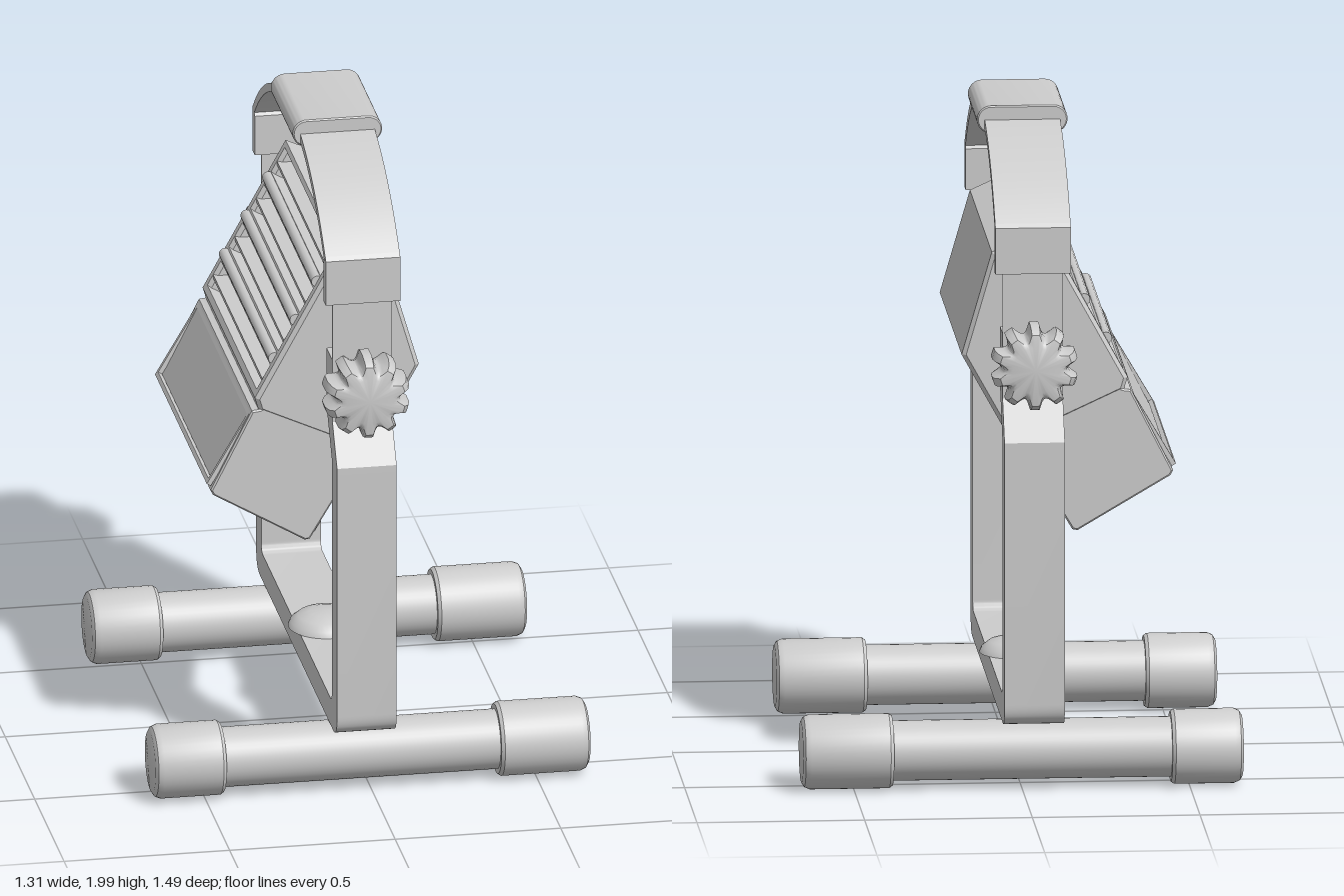
import * as THREE from 'three';
import { toCreasedNormals } from 'three/addons/utils/BufferGeometryUtils.js';

const CX = -0.03; // centre line of stand, knobs and handle
const PIVOT_Y = 1.31;
const mat = new THREE.MeshStandardMaterial({ color: 0xcccccc, side: THREE.DoubleSide });

function add(parent, name, geo, x = 0, y = 0, z = 0) {
  const m = new THREE.Mesh(geo, mat);
  m.name = name;
  m.position.set(x, y, z);
  parent.add(m);
  return m;
}
const box = (w, h, d) => new THREE.BoxGeometry(w, h, d);
const polygon = pts => new THREE.Shape(pts.map(p => new THREE.Vector2(p[0], p[1])));

// Extrusion centred on its own depth, with an optional inward bevel
function slab(shape, depth, bevel = 0) {
  const g = new THREE.ExtrudeGeometry(shape, {
    depth: depth - 2 * bevel, bevelEnabled: bevel > 0, bevelSize: bevel,
    bevelThickness: bevel, bevelOffset: -bevel, bevelSegments: 1, curveSegments: 10,
  });
  g.translate(0, 0, -(depth - 2 * bevel) / 2);
  return toCreasedNormals(g, 0.5);
}
// Outline drawn in (z, y), extruded across x
function across(shape, width, bevel = 0) {
  return slab(shape, width, bevel).rotateY(-Math.PI / 2);
}
function lathe(pts, seg = 40) {
  return toCreasedNormals(new THREE.LatheGeometry(pts.map(p => new THREE.Vector2(p[0], p[1])), seg), 0.6);
}

// Fluted knob, turned about its axis and then scalloped
function knobGeometry() {
  const profile = [[0, 0], [0.085, 0], [0.118, 0.008], [0.13, 0.035], [0.13, 0.085],
    [0.122, 0.118], [0.108, 0.134], [0.07, 0.14], [0, 0.143]];
  const g = new THREE.LatheGeometry(profile.map(p => new THREE.Vector2(p[0], p[1])), 120);
  const pos = g.attributes.position;
  for (let i = 0; i < pos.count; i++) {
    const x = pos.getX(i), z = pos.getZ(i), r = Math.hypot(x, z);
    const notch = Math.max(0, Math.cos(10 * Math.atan2(z, x)) + 0.25) / 1.25;
    const k = r > 0.08 ? 1 - 0.24 * Math.sqrt(notch) : 1;
    pos.setX(i, x * k);
    pos.setZ(i, z * k);
  }
  return toCreasedNormals(g, 0.6).rotateX(Math.PI / 2);
}

function buildStand(root) {
  // U-shaped frame with cranked arms
  const s = new THREE.Shape();
  s.moveTo(-0.62, 0.215);
  s.lineTo(0.62, 0.215);
  s.quadraticCurveTo(0.688, 0.215, 0.688, 0.283);
  for (const p of [[0.688, 1.08], [0.602, 1.21], [0.602, 1.397], [0.508, 1.397], [0.508, 1.215],
    [0.6, 1.075], [0.6, 0.33]]) s.lineTo(...p);
  s.quadraticCurveTo(0.6, 0.3, 0.57, 0.3);
  s.lineTo(-0.57, 0.3);
  s.quadraticCurveTo(-0.6, 0.3, -0.6, 0.33);
  for (const p of [[-0.6, 1.075], [-0.508, 1.215], [-0.508, 1.397], [-0.602, 1.397], [-0.602, 1.21],
    [-0.688, 1.08], [-0.688, 0.283]]) s.lineTo(...p);
  s.quadraticCurveTo(-0.688, 0.215, -0.62, 0.215);
  add(root, 'frame', across(s, 0.18), CX);

  // Domed mounting bolt
  add(root, 'mountingBolt', lathe([[0.115, 0], [0.108, 0.016], [0.085, 0.034], [0.05, 0.045], [0, 0.047]]), CX, 0.3, 0);

  // Foot tubes with rubber end caps
  for (const z of [-0.54, 0.54]) {
    const foot = new THREE.Group();
    foot.name = 'foot';
    foot.position.set(0, 0.12, z);
    root.add(foot);
    add(foot, 'footTube', new THREE.CylinderGeometry(0.09, 0.09, 1.2, 40).rotateZ(Math.PI / 2));
    for (const [inner, outer] of [[-0.445, -0.658], [0.385, 0.656]]) {
      const L = Math.abs(outer - inner);
      const cap = add(foot, 'footCap', lathe([[0.088, 0], [0.105, 0], [0.112, 0.01], [0.112, L - 0.025],
        [0.105, L - 0.008], [0.092, L], [0, L]]), inner);
      cap.rotation.z = outer > 0 ? -Math.PI / 2 : Math.PI / 2;
    }
  }
}

function buildHandle(root) {
  // Arched strap
  const R = 0.87, cy = 1.095, a = Math.asin(0.607 / R), t = 0.013;
  const arch = new THREE.Shape();
  arch.absarc(0, cy, R + t, Math.PI / 2 - a, Math.PI / 2 + a, false);
  arch.absarc(0, cy, R - t, Math.PI / 2 + a, Math.PI / 2 - a, true);
  const g = new THREE.ExtrudeGeometry(arch, { depth: 0.225, bevelEnabled: false, curveSegments: 32 });
  g.translate(0, 0, -0.1125);
  add(root, 'handleArch', toCreasedNormals(g, 0.5).rotateY(-Math.PI / 2), CX);

  // Rounded hand grip
  const grip = new THREE.Shape();
  grip.absarc(0.093, 0, 0.042, -Math.PI / 2, Math.PI / 2, false);
  grip.absarc(-0.093, 0, 0.042, Math.PI / 2, Math.PI * 1.5, false);
  add(root, 'handleGrip', slab(grip, 0.38, 0.004), CX, 1.958, 0);

  for (const side of [-1, 1]) {
    add(root, 'handleStrap', box(0.18, 0.46, 0.01), CX, 1.41, side * 0.604);
    const sleeve = polygon([[-0.021, 0], [0.019, 0], [0.019, 0.14], [0.008, 0.152], [-0.021, 0.125]]
      .map(([z, y]) => [side * z, y]));
    add(root, 'handleSleeve', across(sleeve, 0.225), CX, 1.58, side * 0.605);
  }
}

function buildPivots(root) {
  for (const side of [-1, 1]) {
    const pivot = new THREE.Group();
    pivot.name = 'pivot';
    pivot.position.set(CX, PIVOT_Y, 0);
    if (side < 0) pivot.rotation.y = Math.PI;
    root.add(pivot);
    add(pivot, 'knob', knobGeometry(), 0, 0, 0.604);
    add(pivot, 'pivotHub', lathe([[0.065, 0.44], [0.062, 0.468], [0.048, 0.478], [0.048, 0.52]]).rotateX(Math.PI / 2));
  }
}

function buildLamp(root) {
  const lamp = new THREE.Group();
  lamp.name = 'lampHousing';
  root.add(lamp);

  // Tilted rear face: s runs up the slope, d runs into the body
  const P = (s, d = 0) => [-0.325 + 0.482 * s + 0.876 * d, 1.225 + 0.876 * s - 0.482 * d];
  const rest = [P(0.52), [0.08, 1.61], [0.17, 1.3], [0.02, 1.03], P(-0.03, 0.03)];
  const slots = [0.02, 0.155, 0.29, 0.42], slotH = 0.085;
  const notched = [P(0)];
  for (const s of slots) notched.push(P(s), P(s, 0.045), P(s + slotH, 0.045), P(s + slotH));
  const clockwise = pts => polygon([...pts].reverse());

  add(lamp, 'headCore', slab(clockwise([...notched, ...rest]), 0.84));
  for (const side of [-1, 1])
    add(lamp, 'headEnd', slab(clockwise([P(0), ...rest]), 0.05, 0.012), 0, 0, side * 0.431);

  // Control box under the head
  const lower = polygon([[-0.46, 0.94], [-0.452, 0.925], [-0.175, 0.762], [-0.16, 0.765], [0.0, 1.03], [-0.04, 1.1],
    [-0.29, 1.2], [-0.31, 1.19], [-0.335, 1.187]]);
  add(lamp, 'controlBox', slab(lower, 0.908, 0.005));

  // Grille and panel trim on the tilted face (local x = depth, y = up the slope)
  const face = new THREE.Group();
  face.name = 'rearFace';
  face.position.set(-0.325, 1.225, 0);
  face.rotation.z = -Math.atan2(0.482, 0.876);
  lamp.add(face);
  for (const s of [0.13, 0.265, 0.4])
    add(face, 'grilleBar', new THREE.CylinderGeometry(0.018, 0.018, 0.84, 12).rotateX(Math.PI / 2), 0, s, 0);
  for (const s of slots) {
    const slat = add(face, 'grilleSlat', box(0.045, 0.012, 0.83), 0.022, s + slotH / 2, 0);
    slat.rotation.z = 0.5;
  }
  const trim = new THREE.Group();
  trim.name = 'panelTrim';
  trim.position.set(0.013, -0.175, 0);
  trim.rotation.z = -0.03;
  face.add(trim);
  for (const side of [-1, 1]) {
    add(trim, 'trimRail', box(0.014, 0.014, 0.88), 0, side * 0.122, 0);
    add(trim, 'trimEnd', box(0.014, 0.25, 0.014), 0, 0, side * 0.433);
  }

  // Switch block on the underside
  const sw = new THREE.Group();
  sw.name = 'switchBlock';
  sw.position.set(-0.143, 0.8, 0.355);
  sw.rotation.z = -0.55;
  lamp.add(sw);
  add(sw, 'switchPlate', box(0.016, 0.07, 0.16));
  for (const z of [-0.042, 0, 0.042]) add(sw, 'switchButton', box(0.02, 0.038, 0.034), 0.008, -0.004, z);
}

export function createModel() {
  const root = new THREE.Group();
  root.name = 'workLamp';
  buildStand(root);
  buildHandle(root);
  buildPivots(root);
  buildLamp(root);
  return root;
}
